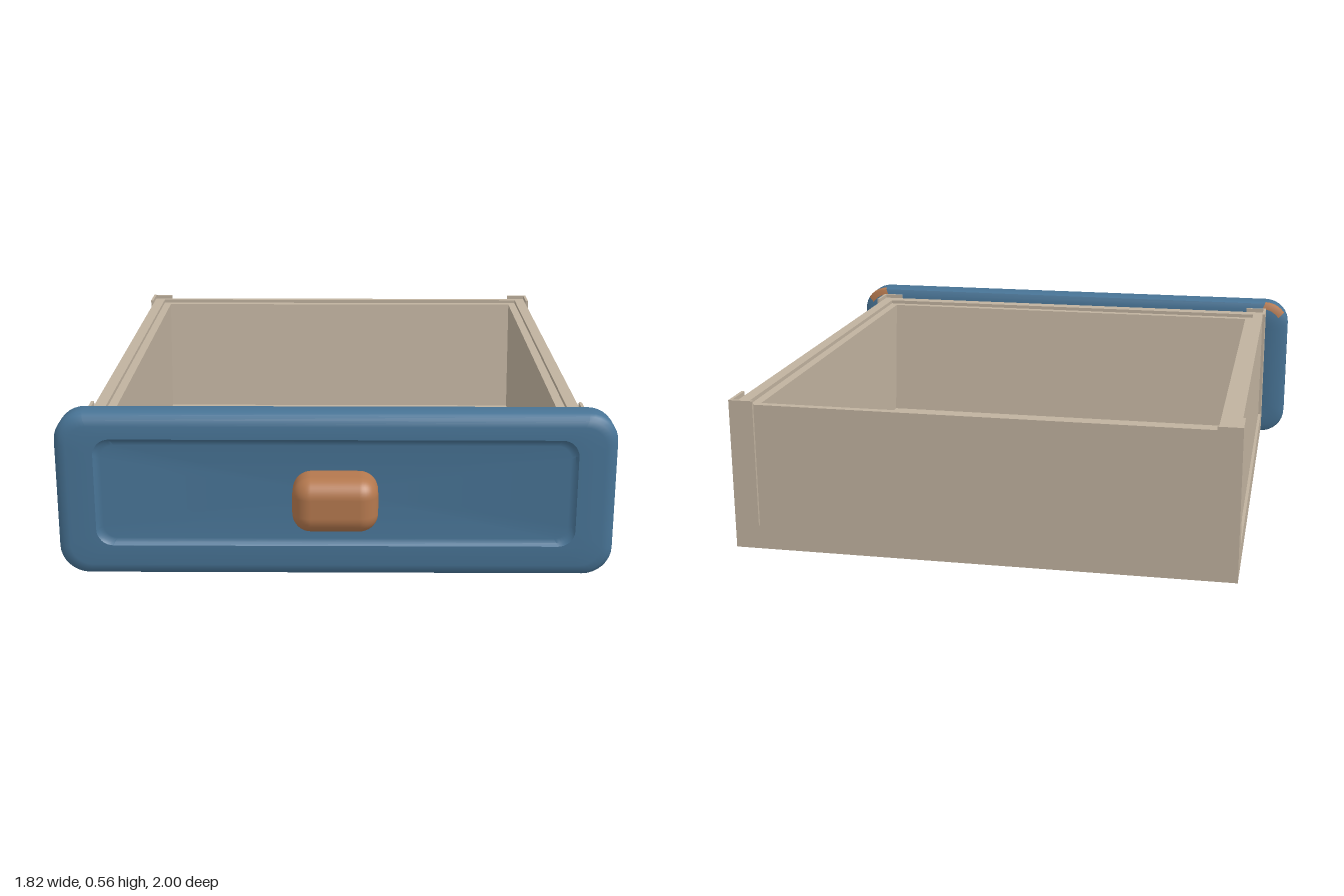
import * as THREE from 'three';
import { toCreasedNormals } from 'three/addons/utils/BufferGeometryUtils.js';
import { RoundedBoxGeometry } from 'three/addons/geometries/RoundedBoxGeometry.js';

const wood = new THREE.MeshStandardMaterial({ color: 0xc0b29f });
const blue = new THREE.MeshStandardMaterial({ color: 0x487496, side: THREE.DoubleSide });
const copper = new THREE.MeshStandardMaterial({ color: 0xb4784e });
wood.name = 'paleWood';
blue.name = 'bluePaint';
copper.name = 'copperKnob';

// Box given by its min and max corners
function block(name, [x0, y0, z0], [x1, y1, z1]) {
  const g = new THREE.BoxGeometry(x1 - x0, y1 - y0, z1 - z0);
  g.translate((x0 + x1) / 2, (y0 + y1) / 2, (z0 + z1) / 2);
  const m = new THREE.Mesh(g, wood);
  m.name = name;
  return m;
}

// Rounded rectangle, counter-clockwise; starts below the middle of the right side
const ARC = 8;
function contour(hx, hy, r, opening) {
  const pts = [];
  const mid = Math.min(opening, (hy - r) * 0.75);
  const corner = (cx, cy, start) => {
    for (let i = 0; i <= ARC; i++) {
      const a = start + (i / ARC) * Math.PI / 2;
      pts.push([cx + r * Math.cos(a), cy + r * Math.sin(a)]);
    }
  };
  const x = hx - r, y = hy - r;
  pts.push([hx, -mid], [hx, mid]);
  corner(x, y, 0);
  corner(-x, y, Math.PI / 2);
  pts.push([-hx, mid], [-hx, -mid]);
  corner(-x, -y, Math.PI);
  corner(x, -y, Math.PI * 1.5);
  return pts;
}

// Hollow front panel lofted from back to front, with an opening in each end
// and copper patches on the upper back corners
function frontPanelGeometry() {
  const layers = [ // half width, half height, corner radius, z, centre y, half opening
    [0.77, 0.17, 0.04, 0.74, 0.285, 0.1], [0.785, 0.185, 0.05, 0.73, 0.285, 0.1],
    [0.885, 0.252, 0.08, 0.73, 0.278, 0.1], [0.905, 0.273, 0.09, 0.74, 0.278, 0.1],
    [0.91, 0.278, 0.095, 0.752, 0.278, 0.09], [0.91, 0.278, 0.095, 0.82, 0.278, 0.13],
    [0.903, 0.271, 0.09, 0.835, 0.278, 0.13], [0.89, 0.258, 0.08, 0.846, 0.278, 0.13],
    [0.87, 0.238, 0.07, 0.85, 0.278, 0.13], [0.783, 0.183, 0.055, 0.85, 0.29, 0.13],
    [0.774, 0.174, 0.05, 0.84, 0.29, 0.13], [0.76, 0.16, 0.045, 0.838, 0.29, 0.13],
  ];
  const pos = [], painted = [], patches = [];
  let n = 0;
  for (const [hx, hy, r, z, cy, opening] of layers) {
    const ring = contour(hx, hy, r, opening);
    n = ring.length;
    for (const [x, y] of ring) pos.push(x, y + cy, z);
  }
  const last = (layers.length - 1) * n;
  const back = layers.length * n, front = back + 1;
  pos.push(0, 0.285, 0.74, 0, 0.29, 0.838);
  const openings = [0, n / 2];
  const rightArc = 2, leftArc = rightArc + ARC + 1;
  const inPatch = (i, j) => (i === 2 || i === 3) &&
    ((j >= rightArc + 3 && j < rightArc + ARC) || (j >= leftArc && j < leftArc + ARC - 3));
  for (let j = 0; j < n; j++) {
    const k = (j + 1) % n;
    painted.push(back, k, j, front, last + j, last + k);
    for (let i = 0; i < layers.length - 1; i++) {
      if (i === 4 && openings.includes(j)) continue;
      const a = i * n + j, b = i * n + k;
      (inPatch(i, j) ? patches : painted).push(a, b, b + n, a, b + n, a + n);
    }
  }
  const g = new THREE.BufferGeometry();
  g.setAttribute('position', new THREE.Float32BufferAttribute(pos, 3));
  g.setIndex([...painted, ...patches]);
  g.addGroup(0, painted.length, 0);
  g.addGroup(painted.length, patches.length, 1);
  return toCreasedNormals(g, 0.7);
}

// Box whose vertices are moved by a rule, with flat normals
function reshaped(mesh, rule) {
  const g = mesh.geometry.toNonIndexed();
  const p = g.attributes.position;
  for (let i = 0; i < p.count; i++) rule(p, i);
  g.computeVertexNormals();
  mesh.geometry = g;
  return mesh;
}

const LINING_TOP = 0.505;

// Inner lining of an end wall, leaning inwards towards the floor
function slopedLining(name, zOuter, zTop, zBottom) {
  const m = block(name, [-0.77, 0.05, Math.min(zOuter, zTop)], [0.77, LINING_TOP, Math.max(zOuter, zTop)]);
  return reshaped(m, (p, i) => {
    if (p.getY(i) < 0.1 && Math.abs(p.getZ(i) - zTop) < 0.001) p.setZ(i, zBottom);
  });
}

// Bottom rail of an end wall, lowered on its inner edge to stay under the floor
function endRail(name, zOuter, zInner) {
  const m = block(name, [-0.82, 0.03, Math.min(zOuter, zInner)], [0.82, 0.11, Math.max(zOuter, zInner)]);
  return reshaped(m, (p, i) => {
    if (p.getY(i) > 0.1 && Math.abs(p.getZ(i) - zInner) < 0.001) p.setY(i, 0.05);
  });
}

export function createModel() {
  const model = new THREE.Group();
  model.name = 'drawer';

  // Tray
  const tray = new THREE.Group();
  tray.name = 'tray';
  model.add(tray);
  tray.add(
    block('floor', [-0.78, 0.04, -0.97], [0.78, 0.06, 0.7]),
    block('backWall', [-0.81, 0.04, -0.99], [0.81, 0.518, -0.965]),
    block('frontWall', [-0.81, 0.04, 0.67], [0.81, 0.518, 0.72]),
    slopedLining('backLining', -0.965, -0.935, -0.88),
    slopedLining('frontLining', 0.67, 0.64, 0.585),
    endRail('backBottomRail', -1, -0.9),
    endRail('frontBottomRail', 0.735, 0.63),
  );

  for (const s of [-1, 1]) {
    const side = s > 0 ? 'left' : 'right';
    const add = (name, xa, xb, y0, y1, z0, z1) => {
      const [x0, x1] = s > 0 ? [xa, xb] : [-xb, -xa];
      tray.add(block(side + name, [x0, y0, z0], [x1, y1, z1]));
    };
    add('Wall', 0.77, 0.81, 0.04, 0.518, -0.99, 0.72);
    add('Lining', 0.74, 0.77, 0.05, LINING_TOP, -0.965, 0.67);
    add('BottomRail', 0.8, 0.82, 0.03, 0.11, -1, 0.735);
    add('BottomFrame', 0.735, 0.81, 0.03, 0.05, -0.99, 0.72);
    // L-shaped corner posts
    add('BackPostSide', 0.81, 0.82, 0.03, 0.532, -1, -0.89);
    add('BackPostEnd', 0.74, 0.82, 0.03, 0.532, -1, -0.99);
    add('FrontPostSide', 0.81, 0.82, 0.03, 0.532, 0.62, 0.735);
    add('FrontPostEnd', 0.74, 0.82, 0.03, 0.532, 0.72, 0.735);
  }

  // Painted front with a sunken field
  const panel = new THREE.Mesh(frontPanelGeometry(), [blue, copper]);
  panel.name = 'frontPanel';
  model.add(panel);

  // Knob
  const knob = new THREE.Mesh(new RoundedBoxGeometry(0.274, 0.18, 0.17, 5, 0.06), copper);
  knob.name = 'knob';
  knob.position.set(0, 0.29, 0.915);
  model.add(knob);

  return model;
}
